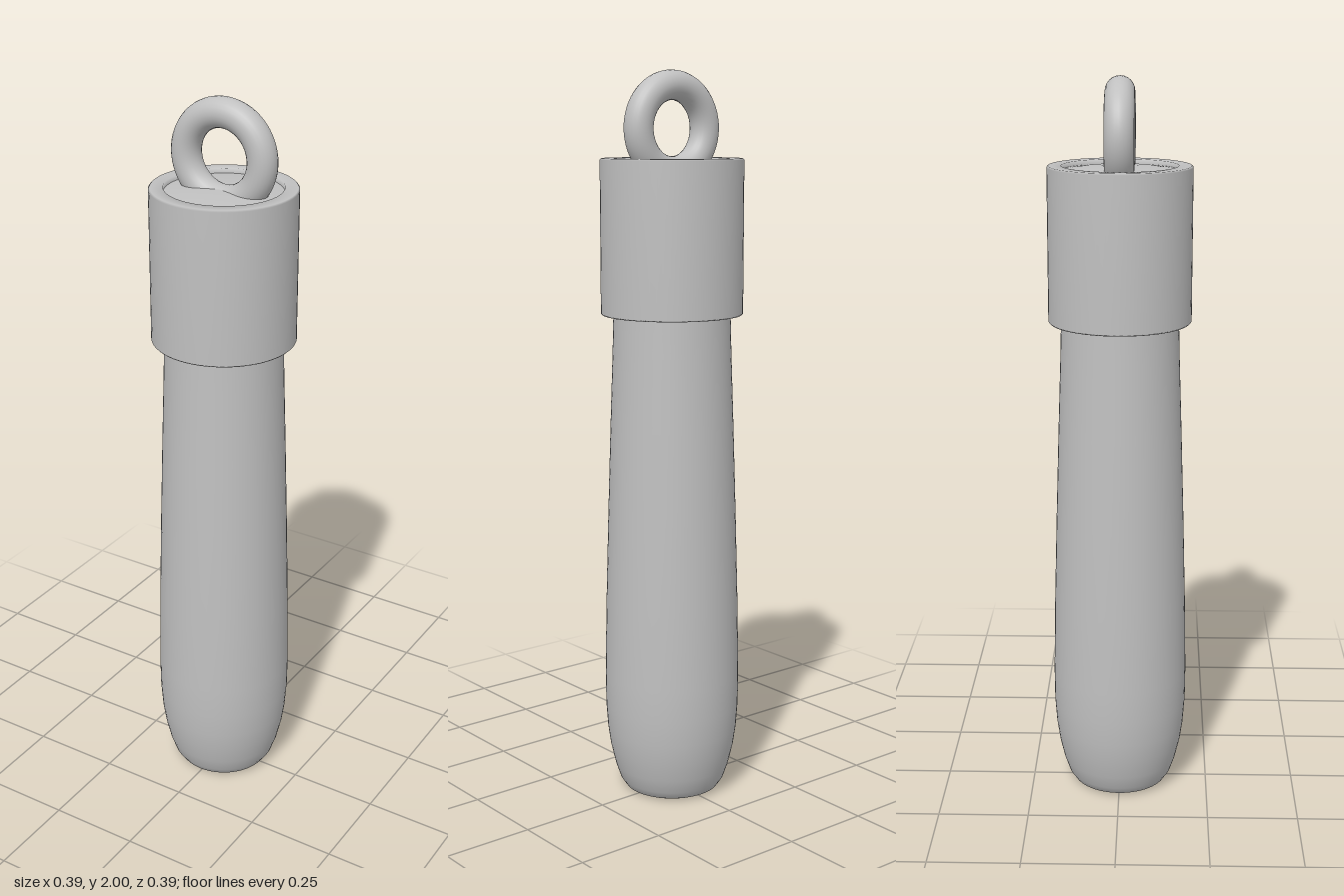
import * as THREE from 'three';

export function createModel() {
  const group = new THREE.Group();
  const metal = new THREE.MeshStandardMaterial({ color: 0xc0c0c0 });
  metal.name = 'plain grey';

  const add = (name, geometry) => {
    const mesh = new THREE.Mesh(geometry, metal);
    mesh.name = name;
    group.add(mesh);
    return mesh;
  };
  const lathe = (profile) =>
    new THREE.LatheGeometry(profile.map(([r, y]) => new THREE.Vector2(r, y)), 64);

  // Tapered grip with a rounded foot, running up inside the collar
  add('handle', lathe([
    [0, 0], [0.115, 0], [0.132, 0.008], [0.147, 0.03], [0.161, 0.07],
    [0.174, 0.125], [0.182, 0.18], [0.187, 0.25], [0.188, 0.34], [0.184, 0.55],
    [0.177, 0.8], [0.169, 1.05], [0.162, 1.25], [0.159, 1.36], [0.155, 1.5],
    [0.155, 1.755],
  ]));

  // Slightly domed plug closing the top of the collar
  add('topPlug', lathe([[0.156, 1.757], [0.11, 1.763], [0.055, 1.767], [0, 1.768]]));

  // Sleeve around the top of the grip, with narrow flat rims
  add('collar', lathe([
    [0.155, 1.353], [0.189, 1.353], [0.193, 1.357], [0.193, 1.766],
    [0.189, 1.77], [0.155, 1.77], [0.155, 1.752],
  ]));

  // Hanging ring, partly sunk into the plug
  add('hangingRing', new THREE.TorusGeometry(0.1125, 0.0395, 24, 64))
    .position.y = 1.848;

  return group;
}
